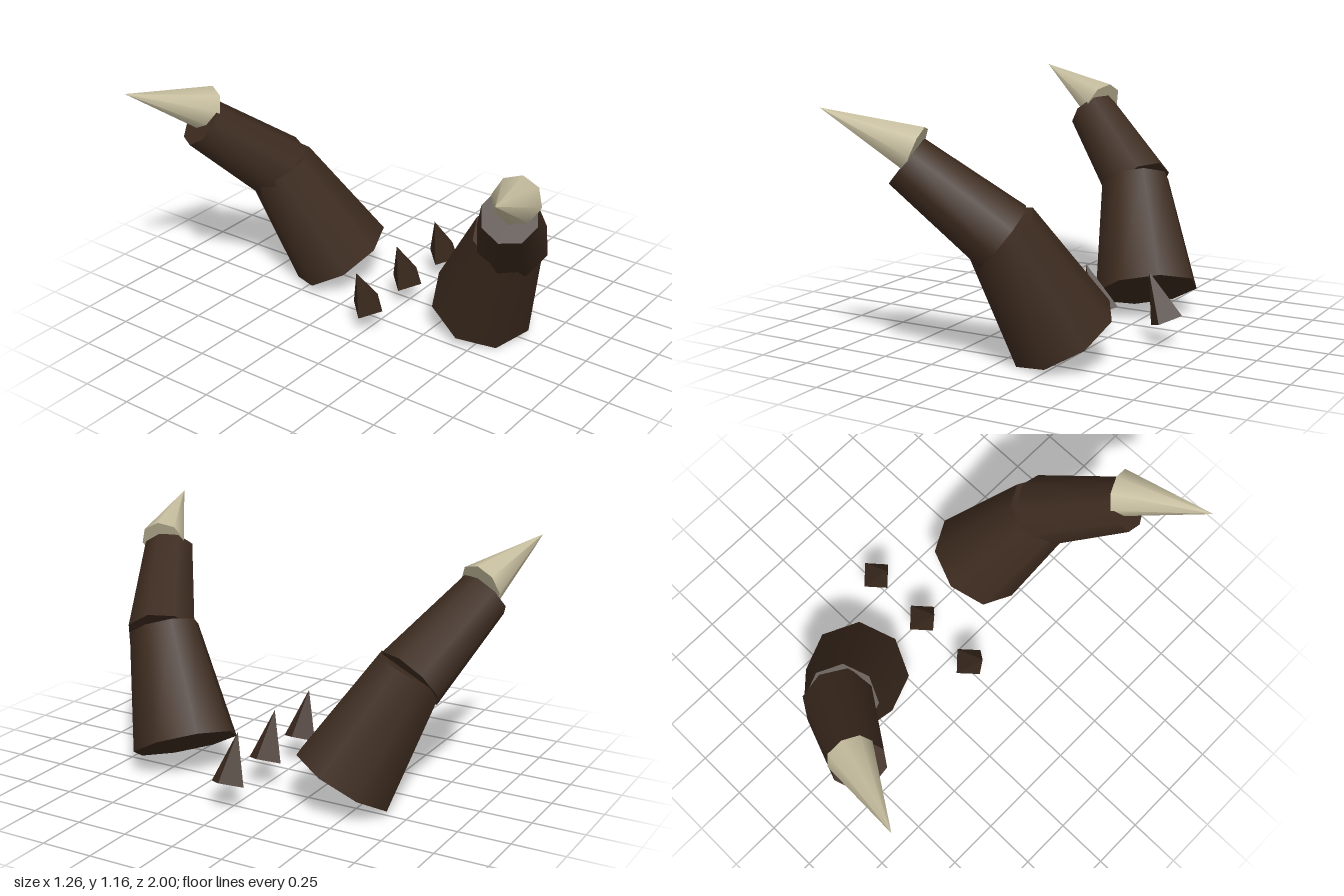
import * as THREE from 'three';

const brown = new THREE.MeshStandardMaterial({ color: 0x3d2b1f });
brown.name = 'dark horn brown';
const ivory = new THREE.MeshStandardMaterial({ color: 0xc8bfa0 });
ivory.name = 'ivory';

// Tapered eight-sided section running from point a to point b
function section(name, a, b, rBottom, rTop, material) {
  const from = new THREE.Vector3(...a);
  const to = new THREE.Vector3(...b);
  const dir = to.clone().sub(from);
  const length = dir.length();
  dir.normalize();
  const geometry = rTop > 0
    ? new THREE.CylinderGeometry(rTop, rBottom, length, 8)
    : new THREE.ConeGeometry(rBottom, length, 8);
  const mesh = new THREE.Mesh(geometry, material);
  mesh.name = name;
  mesh.position.copy(from).add(to).multiplyScalar(0.5);
  // lean in z first, then roll towards -x
  mesh.rotation.set(Math.asin(dir.z), 0, Math.atan2(-dir.x, dir.y), 'ZYX');
  return mesh;
}

// Curved horn of two sections and a pale tip; side is +1 (front) or -1 (back)
function horn(name, side) {
  const p = (x, y, z) => [x, y, z * side];
  const group = new THREE.Group();
  group.name = name;
  group.add(
    section('hornBase', p(0.245, 0.135, 0.432), p(0.063, 0.635, 0.667), 0.258, 0.173, brown),
    section('hornMiddle', p(0.08, 0.607, 0.67), p(-0.28, 0.937, 0.863), 0.173, 0.127, brown),
    section('hornTip', p(-0.228, 0.987, 0.863), p(-0.63, 1.16, 1.0), 0.111, 0, ivory)
  );
  return group;
}

// Small four-sided spike with sharp edges, leaning towards -x
function spike(x) {
  const height = 0.24;
  const lean = 0.393;
  const geometry = new THREE.ConeGeometry(0.085, height, 4).toNonIndexed();
  geometry.computeVertexNormals();
  geometry.translate(0, height / 2, 0);
  const mesh = new THREE.Mesh(geometry, brown);
  mesh.name = 'spike';
  mesh.position.set(x, 0.128, 0);
  mesh.rotation.z = lean;
  return mesh;
}

export function createModel() {
  const model = new THREE.Group();
  model.name = 'hornsAndSpikes';
  model.add(horn('frontHorn', 1), horn('backHorn', -1));

  // Row of spikes between the horns
  const spikes = new THREE.Group();
  spikes.name = 'spikeRow';
  for (let i = 0; i < 3; i++) spikes.add(spike(-0.108 + i * 0.33));
  model.add(spikes);
  return model;
}
